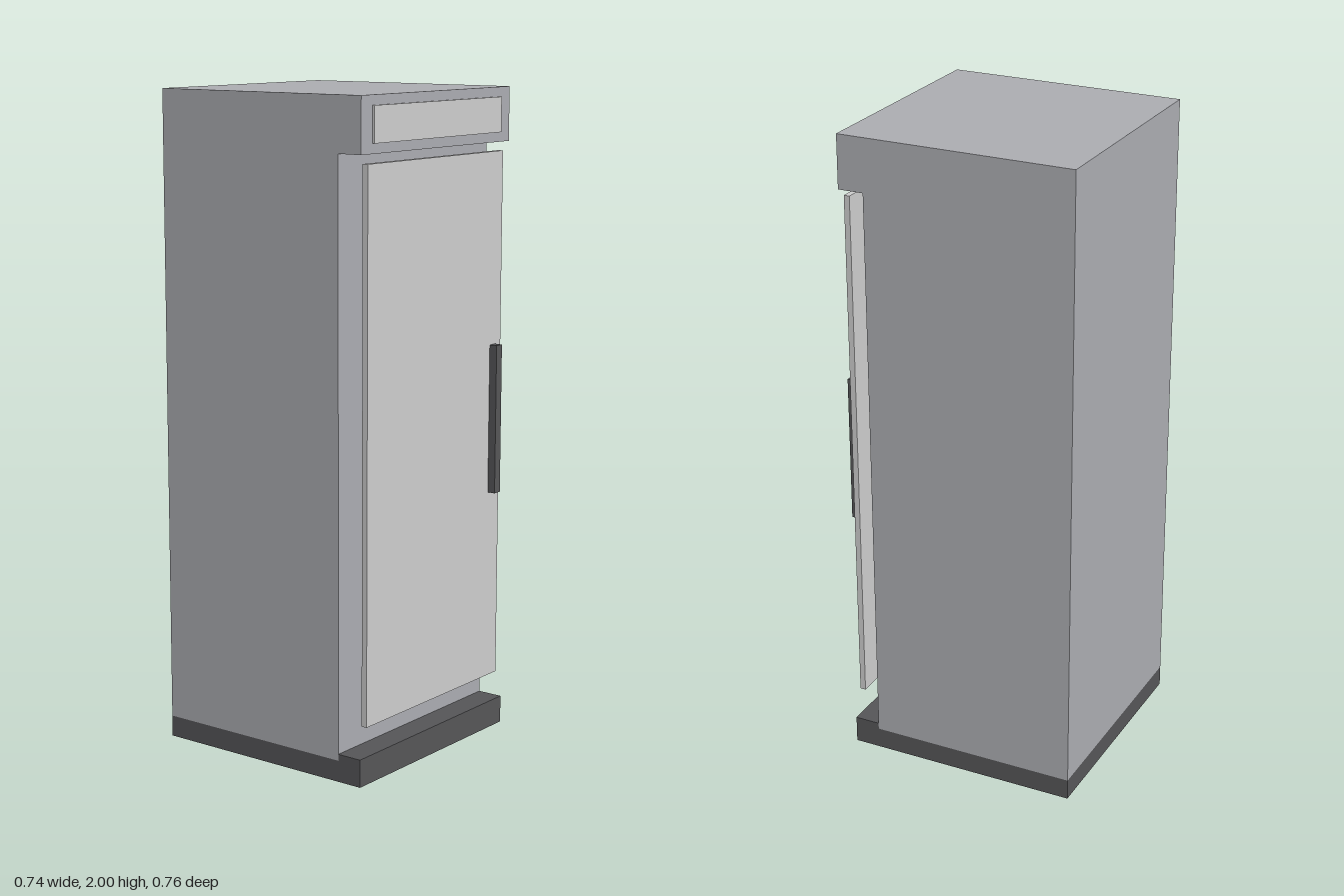
import * as THREE from 'three';

const WIDTH = 0.736;
const BACK = -0.38, FACE = 0.275, FRONT = 0.355;

const bodyMat = new THREE.MeshStandardMaterial({ color: 0xaaabb0 });
const panelMat = new THREE.MeshStandardMaterial({ color: 0xcccccc });
const darkMat = new THREE.MeshStandardMaterial({ color: 0x555557 });

// Side profile given as [z, y] points, extruded across the full width
function sideProfile(name, points, material) {
  const shape = new THREE.Shape(points.map(([z, y]) => new THREE.Vector2(z, y)));
  const geo = new THREE.ExtrudeGeometry(shape, { depth: WIDTH, bevelEnabled: false });
  geo.translate(0, 0, -WIDTH / 2);
  geo.rotateY(-Math.PI / 2);
  const mesh = new THREE.Mesh(geo, material);
  mesh.name = name;
  return mesh;
}

// Box given by its extents along each axis
function block(name, [x0, x1], [y0, y1], [z0, z1], material) {
  const mesh = new THREE.Mesh(new THREE.BoxGeometry(x1 - x0, y1 - y0, z1 - z0), material);
  mesh.position.set((x0 + x1) / 2, (y0 + y1) / 2, (z0 + z1) / 2);
  mesh.name = name;
  return mesh;
}

export function createModel() {
  const model = new THREE.Group();
  model.name = 'uprightFridge';

  // Cabinet with the header overhanging the door
  model.add(sideProfile('cabinet', [
    [BACK, 0.065], [FACE, 0.065], [FACE, 1.837], [FRONT, 1.837], [FRONT, 2], [BACK, 2],
  ], bodyMat));

  // Plinth with a raised lip in front of the cabinet
  model.add(sideProfile('plinth', [
    [BACK, 0], [FRONT, 0], [FRONT, 0.085], [FACE, 0.085], [FACE, 0.065], [BACK, 0.065],
  ], darkMat));

  // Thin door standing proud of the cabinet face
  model.add(block('door', [-0.337, 0.337], [0.175, 1.81], [0.337, 0.355], panelMat));

  // Header panel and door handle
  model.add(block('headerPanel', [-0.316, 0.316], [1.866, 1.971], [0.35, 0.362], panelMat));
  model.add(block('doorHandle', [0.28, 0.309], [0.765, 1.225], [0.355, 0.38], darkMat));

  return model;
}
